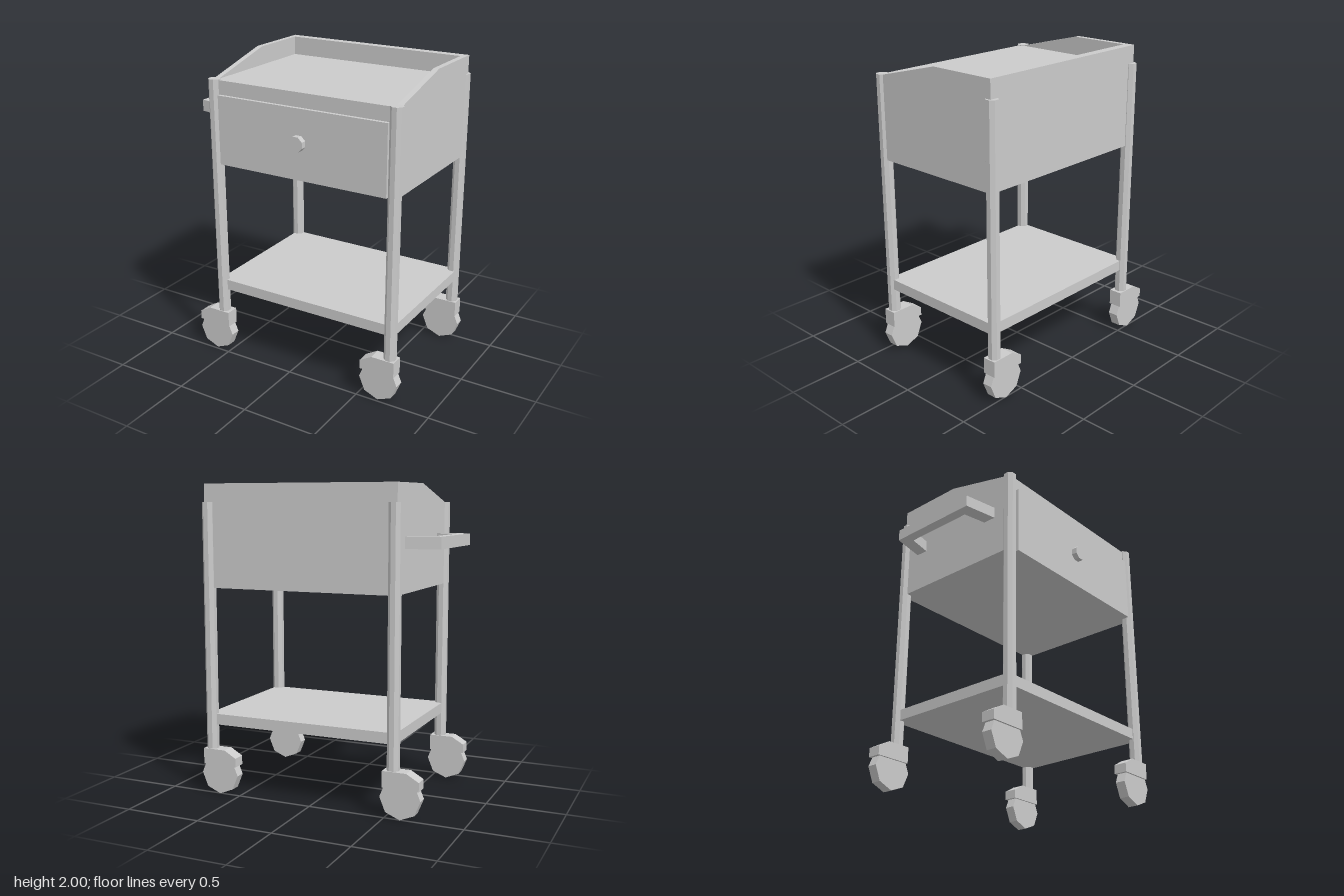
import * as THREE from 'three';

const material = new THREE.MeshStandardMaterial({ color: 0xcccccc, flatShading: true });

function add(parent, name, geometry, x = 0, y = 0, z = 0) {
  const mesh = new THREE.Mesh(geometry, material);
  mesh.name = name;
  mesh.position.set(x, y, z);
  parent.add(mesh);
  return mesh;
}

// Box given by its lower and upper limits on each axis
function block(parent, name, [x0, x1], [y0, y1], [z0, z1]) {
  return add(parent, name, new THREE.BoxGeometry(x1 - x0, y1 - y0, z1 - z0),
    (x0 + x1) / 2, (y0 + y1) / 2, (z0 + z1) / 2);
}

// Flat outline extruded along z
function plate(points, depth) {
  const shape = new THREE.Shape(points.map(([x, y]) => new THREE.Vector2(x, y)));
  return new THREE.ExtrudeGeometry(shape, { depth, bevelEnabled: false });
}

export function createModel() {
  const cart = new THREE.Group();
  cart.name = 'rollingCart';

  const X = [-0.565, 0.73], Z = [-0.483, 0.46];
  const legX = [-0.549, 0.708], legZ = [0.45, -0.472];

  // Cabinet, drawer and lower shelf
  block(cart, 'cabinet', X, [1.345, 1.88], Z);
  block(cart, 'drawerFront', [-0.505, 0.67], [1.345, 1.79], [0.45, 0.483]);
  block(cart, 'lowerShelf', X, [0.455, 0.525], Z);

  // Octagonal drawer knob
  const knob = new THREE.CylinderGeometry(0.05, 0.05, 0.037, 8);
  knob.rotateY(Math.PI / 8).rotateX(Math.PI / 2);
  add(cart, 'drawerKnob', knob, 0.082, 1.58, 0.5015);

  // Raised rim around the top: back wall and sloping sides
  block(cart, 'backRim', X, [1.88, 2], [-0.483, -0.425]);
  const rim = plate([[-0.425, 1.88], [0.435, 1.88], [-0.035, 2], [-0.425, 2]], 0.035);
  rim.rotateY(-Math.PI / 2); // outline x becomes z, depth runs towards -x
  add(cart, 'rightRim', rim, X[0] + 0.035);
  add(cart, 'leftRim', rim, X[1]);

  // Push handle on the right side, outlined from above as (x, -z)
  const handle = plate([
    [-0.555, 0.356], [-0.775, 0.311], [-0.775, -0.296], [-0.555, -0.338],
    [-0.555, -0.254], [-0.712, -0.221], [-0.712, 0.24], [-0.555, 0.274],
  ], 0.074);
  handle.rotateX(-Math.PI / 2);
  add(cart, 'handle', handle, 0, 1.611, 0);

  // Legs with casters
  const leg = new THREE.CylinderGeometry(0.04, 0.04, 1.605, 8).rotateY(Math.PI / 8);
  const fork = plate([
    [-0.18, 0.192], [0.055, 0.192], [0.055, 0.296], [-0.1, 0.296], [-0.18, 0.25],
  ], 0.087);
  fork.translate(0, 0, -0.0435);
  const wheel = new THREE.CylinderGeometry(0.131, 0.131, 0.066, 8).rotateX(Math.PI / 2);

  legX.forEach((x, i) => legZ.forEach((z, j) => {
    const corner = new THREE.Group();
    corner.name = (j ? 'back' : 'front') + (i ? 'Left' : 'Right') + 'Leg';
    corner.position.set(x + 0, 0, z);
    add(corner, 'post', leg, 0, 1.0825, 0);
    const caster = new THREE.Group();
    caster.name = 'caster';
    caster.position.x = i ? -0.009 : 0.003;
    add(caster, 'casterFork', fork);
    add(caster, 'casterWheel', wheel, -0.057, 0.131, 0);
    corner.add(caster);
    cart.add(corner);
  }));

  return cart;
}
